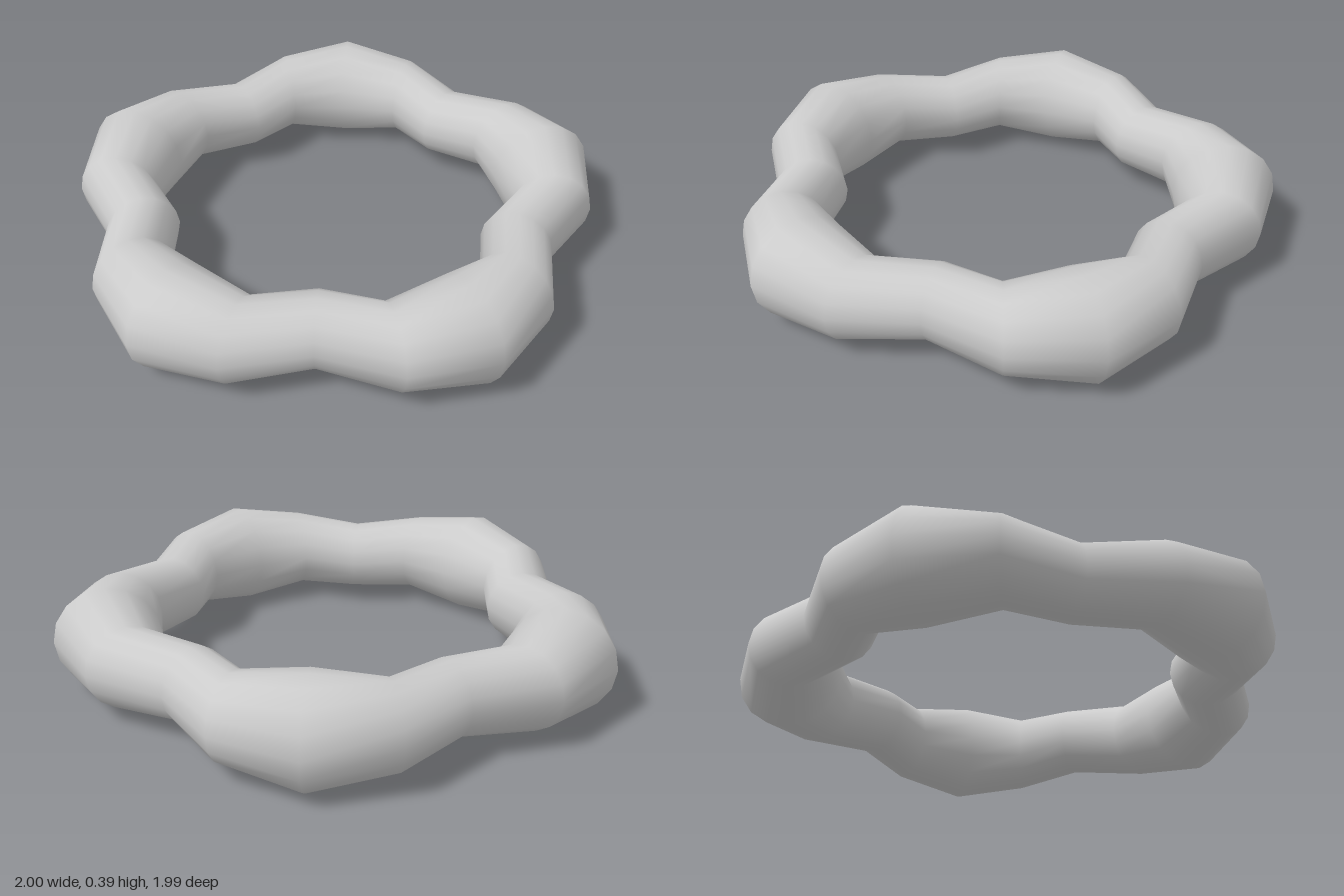
import * as THREE from 'three';
import { mergeVertices } from 'three/addons/utils/BufferGeometryUtils.js';

// Ring radius and tube radius at the stations of each of the five bulges:
// crest, shoulder, waist, shoulder
const STATIONS = [
  { ring: 0.857, tube: 0.196 },
  { ring: 0.836, tube: 0.152 },
  { ring: 0.727, tube: 0.134 },
  { ring: 0.836, tube: 0.152 },
];
const SEGMENTS = 20;
const SIDES = 16;

function bulgingRing() {
  const unitTube = 0.5;
  let geometry = new THREE.TorusGeometry(1, unitTube, SIDES, SEGMENTS);
  const pos = geometry.attributes.position;

  // Swell and pinch the torus, one cross-section at a time
  for (let i = 0; i < pos.count; i++) {
    const x = pos.getX(i), y = pos.getY(i);
    const angle = Math.atan2(y, x);
    const step = Math.round((angle + Math.PI / 2) / (2 * Math.PI / SEGMENTS));
    const { ring, tube } = STATIONS[(step + SEGMENTS) % 4];
    const radius = ring + (Math.hypot(x, y) - 1) / unitTube * tube;
    pos.setXYZ(i, Math.cos(angle) * radius, Math.sin(angle) * radius,
      pos.getZ(i) / unitTube * tube);
  }

  // Weld the seams so the shading is smooth all the way round
  geometry.deleteAttribute('uv');
  geometry.deleteAttribute('normal');
  geometry = mergeVertices(geometry, 1e-4);
  geometry.rotateX(-Math.PI / 2);
  geometry.computeVertexNormals();
  return geometry;
}

export function createModel() {
  const group = new THREE.Group();
  group.name = 'bulgingRing';
  const ring = new THREE.Mesh(bulgingRing(),
    new THREE.MeshStandardMaterial({ color: 0xcccccc }));
  ring.name = 'ring';
  // One bulge faces the front
  ring.position.set(0, 0.197, -0.057);
  group.add(ring);
  return group;
}
